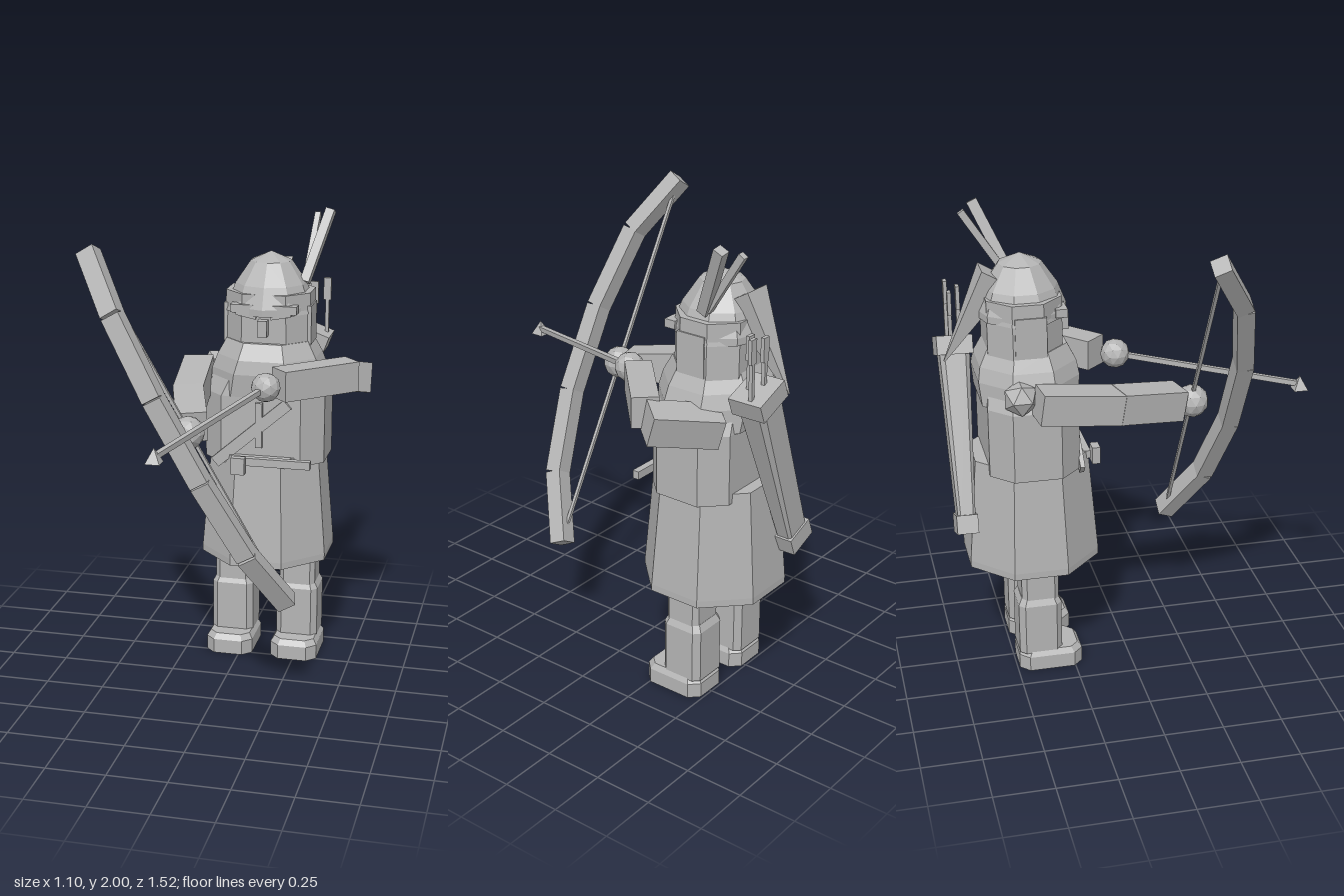
import * as THREE from 'three';

const V = (x, y, z) => new THREE.Vector3(x, y, z);

// Stack of chamfered rectangles; each level is [y, halfX, halfZ, chamfer]
function loft(levels) {
  const rings = levels.map(([y, w, d, c]) => [
    [w, d - c], [w, c - d], [w - c, -d], [c - w, -d],
    [-w, c - d], [-w, d - c], [c - w, d], [w - c, d],
  ].map(([x, z]) => [x, y, z]));
  const pos = [];
  const tri = (...corners) => corners.forEach((p) => pos.push(...p));
  for (let k = 0; k + 1 < rings.length; k++) {
    for (let i = 0; i < 8; i++) {
      const j = (i + 1) % 8, a = rings[k], b = rings[k + 1];
      tri(a[i], a[j], b[j]);
      tri(a[i], b[j], b[i]);
    }
  }
  const lo = rings[0], hi = rings[rings.length - 1];
  for (let i = 1; i < 7; i++) {
    tri(lo[0], lo[i + 1], lo[i]);
    tri(hi[0], hi[i], hi[i + 1]);
  }
  const g = new THREE.BufferGeometry();
  g.setAttribute('position', new THREE.Float32BufferAttribute(pos, 3));
  g.computeVertexNormals();
  return g;
}

// Level with a regular octagon outline
const oct = (y, w, d = w) => [y, w, d, 0.586 * Math.min(w, d)];

export function createModel() {
  const model = new THREE.Group();
  const grey = new THREE.MeshStandardMaterial({ color: 0xb4b4b4, flatShading: true });
  grey.name = 'plain grey';

  function add(name, geometry, x = 0, y = 0, z = 0) {
    const mesh = new THREE.Mesh(geometry, grey);
    mesh.name = name;
    mesh.position.set(x, y, z);
    model.add(mesh);
    return mesh;
  }
  const box = (name, w, h, d, x, y, z) => add(name, new THREE.BoxGeometry(w, h, d), x, y, z);

  // Places a y-aligned geometry from a to b, its x axis kept near side
  function along(name, geometry, a, b, side = V(1, 0, 0)) {
    const up = b.clone().sub(a).normalize();
    const out = side.clone().cross(up).normalize();
    const right = up.clone().cross(out);
    const mesh = add(name, geometry);
    mesh.quaternion.setFromRotationMatrix(new THREE.Matrix4().makeBasis(right, up, out));
    mesh.position.copy(a).add(b).multiplyScalar(0.5);
    return mesh;
  }
  const beam = (name, a, b, w, d, side) =>
    along(name, new THREE.BoxGeometry(w, a.distanceTo(b), d), a, b, side);

  const cx = 0.1, cz = -0.4;

  // Legs and boots
  for (const s of [-1, 1]) {
    const x = cx + s * 0.148;
    add('boot', loft([[0.04, 0.06, 0.09, 0.03], [0, 0.08, 0.115, 0.04], [0, 0.105, 0.138, 0.04],
      [0.065, 0.105, 0.138, 0.04], [0.09, 0.09, 0.12, 0.035]]), x, 0, -0.352);
    add('shin', loft([[0.08, 0.093, 0.093, 0.025], [0.31, 0.093, 0.093, 0.025],
      [0.34, 0.078, 0.078, 0.02]]), x, 0, -0.395);
    add('thigh', loft([[0.33, 0.08, 0.08, 0.02], [0.55, 0.08, 0.08, 0.02]]), x, 0, -0.392);
  }

  // Tunic
  add('skirt', loft([oct(0.47, 0.25), oct(0.47, 0.278), oct(0.5, 0.278),
    oct(0.9, 0.245), oct(0.96, 0.24)]), cx, 0, -0.395);
  add('torso', loft([[0.92, 0.265, 0.19, 0.09], [1.22, 0.265, 0.19, 0.09],
    [1.36, 0.2, 0.17, 0.09]]), cx, 0, -0.395);
  add('mantle', loft([oct(1.22, 0.25, 0.2), oct(1.32, 0.24, 0.21), oct(1.38, 0.217, 0.2),
    oct(1.45, 0.18, 0.165)]), cx, 0, cz);

  // Straps and belt
  beam('chestStrap', V(-0.1, 0.92, -0.2), V(0.22, 1.2, -0.2), 0.05, 0.02);
  box('chestTab', 0.03, 0.2, 0.03, 0.095, 1.1, -0.2);
  box('belt', 0.34, 0.035, 0.03, 0.16, 0.945, -0.16);
  box('buckle', 0.06, 0.075, 0.035, 0.02, 0.935, -0.12);

  // Head
  add('head', loft([oct(1.4, 0.19, 0.155), oct(1.66, 0.185, 0.155)]), cx, 0, -0.41);
  box('nose', 0.042, 0.07, 0.06, cx, 1.52, -0.245);
  box('browPlate', 0.29, 0.035, 0.05, cx, 1.6, -0.265);
  for (const s of [-1, 1]) {
    box('cheekGuard', 0.035, 0.17, 0.13, cx + s * 0.175, 1.52, -0.4);
    box('eyebrow', 0.09, 0.022, 0.03, cx + s * 0.075, 1.575, -0.255).rotation.z = s * 0.2;
  }

  // Hat with hanging point
  const dome = [[0.19, 1.57], [0.19, 1.6], [0.155, 1.69], [0.09, 1.785], [0, 1.825]];
  add('helmet', new THREE.LatheGeometry(dome.map((p) => new THREE.Vector2(...p)), 10), cx, 0, -0.41);
  add('helmetRim', loft([oct(1.57, 0.19, 0.16), oct(1.62, 0.175, 0.155)]), cx, 0, -0.41);
  const tail = new THREE.CylinderGeometry(0.005, 0.09, 0.42, 4);
  tail.rotateY(Math.PI / 4);
  along('hoodTail', tail, V(cx, 1.72, -0.53), V(cx, 1.4, -0.72));

  // Feathers
  beam('feather', V(0.245, 1.69, -0.43), V(0.33, 1.985, -0.565), 0.04, 0.045);
  beam('feather', V(0.245, 1.7, -0.45), V(0.265, 1.96, -0.62), 0.025, 0.03);

  // Quiver
  const top = V(0.24, 1.42, -0.68), end = V(-0.04, 0.68, -0.69);
  const len = top.distanceTo(end);
  along('quiver', loft([[-len / 2, 0.06, 0.035, 0.01], [len / 2, 0.075, 0.065, 0.02]]), end, top);
  const at = (t) => end.clone().lerp(top, t);
  beam('quiverRim', at(0.92), at(1.02), 0.17, 0.15);
  beam('quiverTip', at(-0.03), at(0.07), 0.14, 0.09);
  for (const [x, z, y] of [[0.21, -0.69, 1.64], [0.25, -0.65, 1.65], [0.3, -0.695, 1.66]]) {
    box('quiverArrowShaft', 0.016, 0.28, 0.016, x, y - 0.15, z);
    box('quiverArrowFletching', 0.034, 0.1, 0.016, x, y - 0.05, z);
  }

  // Right arm, holding the bow
  beam('rightUpperArm', V(-0.22, 1.285, -0.4), V(-0.18, 1.235, -0.05), 0.13, 0.13);
  beam('rightForearm', V(-0.185, 1.24, -0.07), V(-0.1, 1.195, 0.21), 0.13, 0.13);
  add('rightShoulder', new THREE.IcosahedronGeometry(0.075, 0), -0.15, 1.29, -0.46);
  add('rightHand', new THREE.IcosahedronGeometry(0.07, 1), -0.1, 1.19, 0.27);

  // Left arm, drawing the string
  beam('leftUpperArm', V(0.28, 1.25, -0.53), V(0.51, 1.3, -0.36), 0.13, 0.13);
  beam('leftForearm', V(0.475, 1.32, -0.325), V(0.205, 1.32, -0.075), 0.13, 0.11, V(0, 1, 0));
  add('leftHand', new THREE.IcosahedronGeometry(0.063, 1), 0.165, 1.325, 0);

  // Bow and string
  const bend = [[-0.51, 1.915, 0.26], [-0.37, 1.69, 0.4], [-0.19, 1.375, 0.46],
    [0, 1.04, 0.46], [0.175, 0.725, 0.4], [0.315, 0.48, 0.26]].map((p) => V(...p));
  for (let i = 0; i < 5; i++) {
    beam('bowLimb', bend[i], bend[i + 1], 0.08, 0.072, V(0.87, 0.49, 0));
  }
  beam('bowString', V(-0.475, 1.85, 0.268), V(0.285, 0.53, 0.268), 0.014, 0.014);

  // Nocked arrow
  const nock = V(0.165, 1.325, 0), tip = V(-0.11, 1.23, 0.73);
  beam('arrowShaft', nock, tip, 0.022, 0.022);
  const point = new THREE.ConeGeometry(0.042, 0.06, 4);
  point.rotateY(Math.PI / 4);
  add('arrowHead', point, tip.x - 0.003, 1.235, 0.735);

  return model;
}
